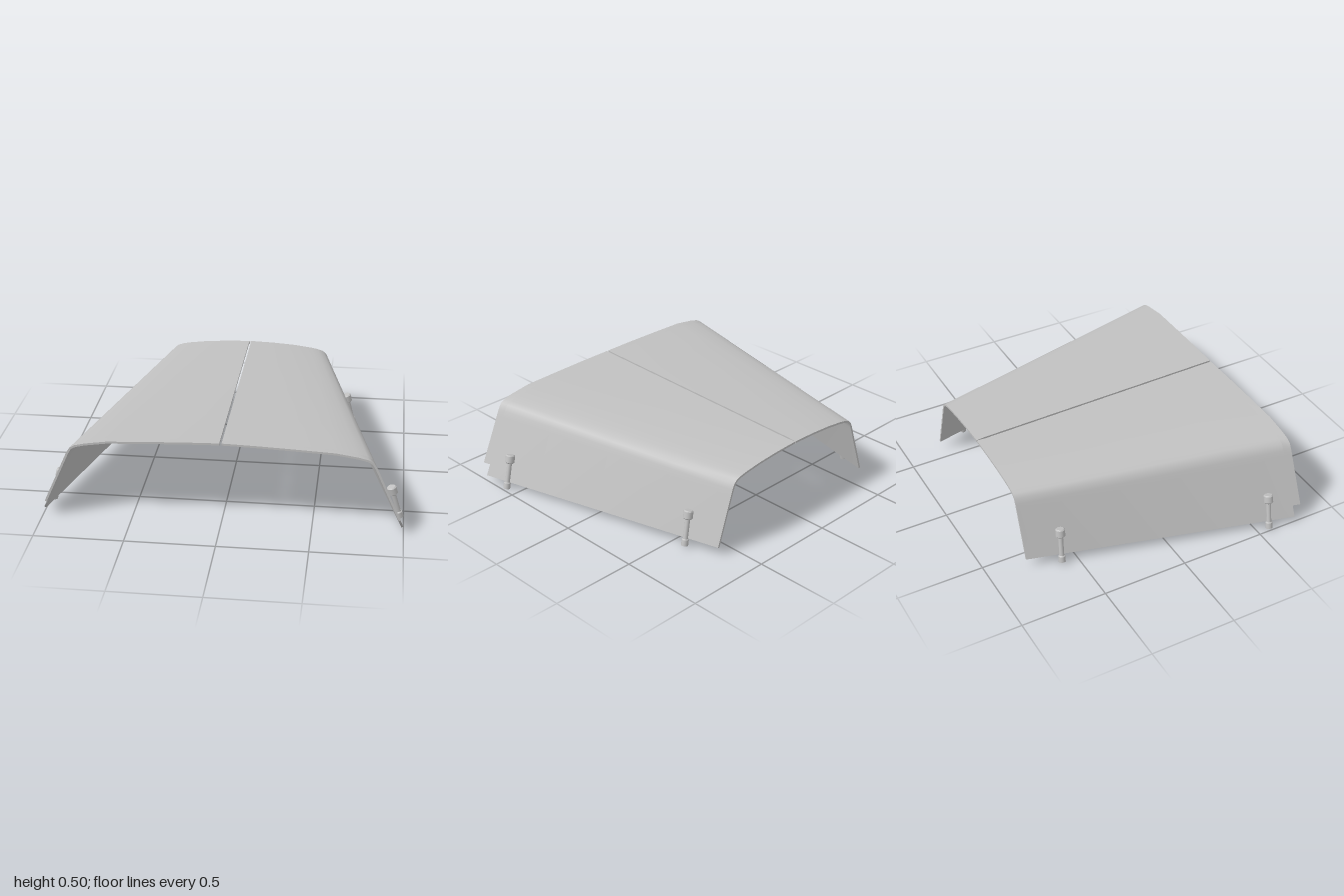
import * as THREE from 'three';

const metal = new THREE.MeshStandardMaterial({ color: 0xc0c0c0 });
metal.name = 'grey metal';

// Half cross-sections [x, y] from the centre gap to the lower side edge
const FRONT = [[0.006, 0.503], [0.2, 0.5], [0.4, 0.494], [0.62, 0.486], [0.74, 0.468],
  [0.795, 0.455], [0.825, 0.438], [0.845, 0.405], [0.86, 0.372], [1.01, 0.037]];
const BACK = [[0.006, 0.468], [0.15, 0.463], [0.28, 0.454], [0.39, 0.44], [0.43, 0.432],
  [0.465, 0.42], [0.487, 0.4], [0.5, 0.37], [0.51, 0.34], [0.606, 0.053]];
const THICKNESS = 0.012;
const LENGTH = 1.56;

// Rows front to back; "cut" raises the lower edge to form the corner notch
const ROWS = [
  { z: 0.78, cut: 0.1 }, { z: 0.735, cut: 0.1 }, { z: 0.735 }, { z: 0.4 },
  { z: 0 }, { z: -0.4 }, { z: -0.73 }, { z: -0.78, gap: 0.001 },
];

// Outer and inner points of one cross-section
function section({ z, cut, gap }) {
  const t = (0.78 - z) / LENGTH;
  const pts = FRONT.map((p, i) => new THREE.Vector2(
    THREE.MathUtils.lerp(p[0], BACK[i][0], t), THREE.MathUtils.lerp(p[1], BACK[i][1], t)));
  const last = pts.length - 1;
  if (gap !== undefined) pts[0].x = gap;
  if (cut) {
    const a = pts[last - 1], b = pts[last];
    b.lerpVectors(a, b, (a.y - cut) / (a.y - b.y));
  }
  const outer = [], inner = [];
  pts.forEach((p, i) => {
    const d = pts[Math.min(i + 1, last)].clone().sub(pts[Math.max(i - 1, 0)]).normalize();
    // The front edge is slightly drawn back towards the centre
    const pz = z === 0.78 ? z - 0.014 * Math.max(0, 1 - p.x / 0.6) : z;
    outer.push(new THREE.Vector3(p.x, p.y, pz));
    const ix = i === 0 ? p.x : p.x + d.y * THICKNESS;
    inner.push(new THREE.Vector3(ix, p.y - d.x * THICKNESS, pz));
  });
  return { outer, inner };
}

// Smooth surface through a grid of points, mirrored when side is -1
function grid(rows, side, flip = false) {
  const n = rows[0].length, pos = [], idx = [];
  rows.forEach(r => r.forEach(p => pos.push(p.x * side, p.y, p.z)));
  const turned = flip !== (side < 0);
  for (let i = 0; i < rows.length - 1; i++) {
    for (let j = 0; j < n - 1; j++) {
      const a = i * n + j, b = a + 1, c = a + n, d = c + 1;
      if (turned) idx.push(a, c, b, b, c, d);
      else idx.push(a, b, c, b, d, c);
    }
  }
  const g = new THREE.BufferGeometry();
  g.setAttribute('position', new THREE.Float32BufferAttribute(pos, 3));
  g.setIndex(idx);
  g.computeVertexNormals();
  return g;
}

function add(parent, geometry, name) {
  const m = new THREE.Mesh(geometry, metal);
  m.name = name;
  parent.add(m);
  return m;
}

// One half of the cover: outer skin, inner skin and the four rims
function makePanel(side) {
  const panel = new THREE.Group();
  panel.name = side > 0 ? 'leftPanel' : 'rightPanel';
  const s = ROWS.map(section);
  const outer = s.map(r => r.outer), inner = s.map(r => r.inner);
  const col = (rows, j) => rows.map(r => r.at(j));
  add(panel, grid(outer, side), 'outerSkin');
  add(panel, grid(inner, side, true), 'innerSkin');
  add(panel, grid([inner[0], outer[0]], side), 'frontRim');
  add(panel, grid([outer.at(-1), inner.at(-1)], side), 'backRim');
  add(panel, grid([col(outer, 0), col(inner, 0)], side), 'centreRim');
  add(panel, grid([col(inner, -1), col(outer, -1)], side), 'lowerRim');
  return panel;
}

// Latch: a rod with a bevelled head at the top and a small foot
function makeLatch(top, bottom, name) {
  const latch = new THREE.Group();
  latch.name = name;
  const axis = top.clone().sub(bottom), len = axis.length();
  latch.position.copy(bottom);
  latch.quaternion.setFromUnitVectors(new THREE.Vector3(0, 1, 0), axis.normalize());
  const piece = (r1, r0, y0, y1, part) =>
    add(latch, new THREE.CylinderGeometry(r1, r0, y1 - y0, 20), part).position.y = (y0 + y1) / 2;
  piece(0.014, 0.014, 0.02, len - 0.03, 'rod');
  piece(0.027, 0.027, len - 0.044, len - 0.006, 'head');
  piece(0.021, 0.027, len - 0.006, len, 'headTopBevel');
  piece(0.027, 0.021, len - 0.05, len - 0.044, 'headLowerBevel');
  piece(0.02, 0.02, 0, 0.034, 'foot');
  piece(0.015, 0.02, 0.034, 0.039, 'footBevel');
  return latch;
}

export function createModel() {
  const model = new THREE.Group();
  model.name = 'foldingCover';
  for (const side of [1, -1]) {
    model.add(makePanel(side));
    const v = (x, y, z) => new THREE.Vector3(x * side, y, z);
    model.add(makeLatch(v(0.923, 0.204, 0.59), v(0.981, 0.009, 0.573), 'frontLatch'));
    model.add(makeLatch(v(0.629, 0.215, -0.581), v(0.677, 0.018, -0.596), 'rearLatch'));
  }
  return model;
}
